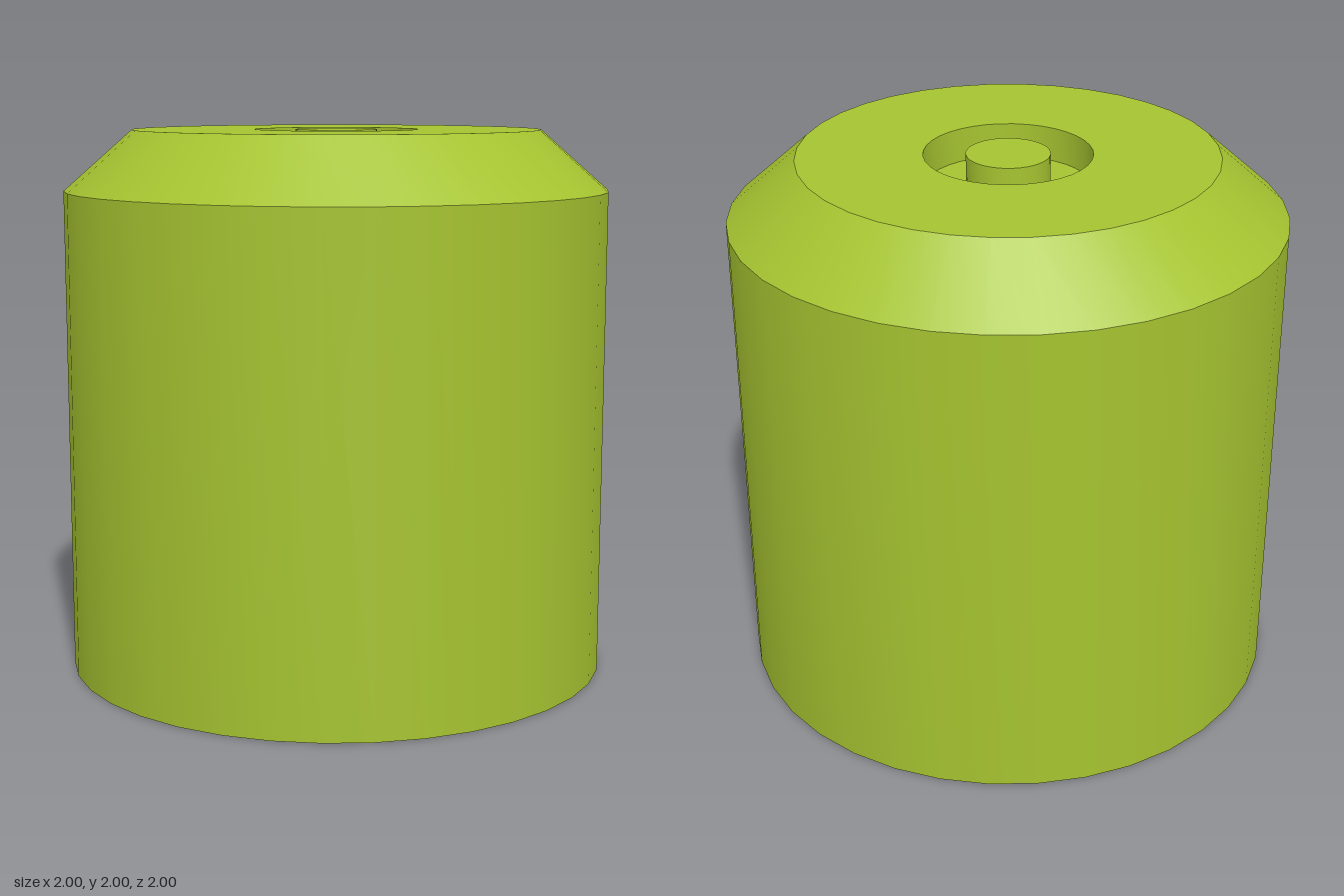
import * as THREE from 'three';
import { toCreasedNormals } from 'three/addons/utils/BufferGeometryUtils.js';

const SIDES = 36;
const FLOOR = 1.875; // height of the recess floor

export function createModel() {
  const group = new THREE.Group();
  group.name = 'chamferedCylinder';
  const material = new THREE.MeshStandardMaterial({ color: 0xa5c330 });

  // Revolve a profile, smooth around the axis and sharp at its corners
  const addTurned = (name, profile) => {
    const points = profile.map(([r, y]) => new THREE.Vector2(r, y));
    const geometry = toCreasedNormals(new THREE.LatheGeometry(points, SIDES), 0.5);
    const mesh = new THREE.Mesh(geometry, material);
    mesh.name = name;
    group.add(mesh);
  };

  // Body: base, wall, chamfer, flat top and round recess
  addTurned('body', [
    [0, 0], [1, 0], [1, 1.78], [0.75, 2],
    [0.3, 2], [0.3, FLOOR], [0.15, FLOOR],
  ]);

  // Pin standing in the recess, flush with the top
  addTurned('centrePin', [[0.15, FLOOR], [0.15, 2], [0, 2]]);

  return group;
}
